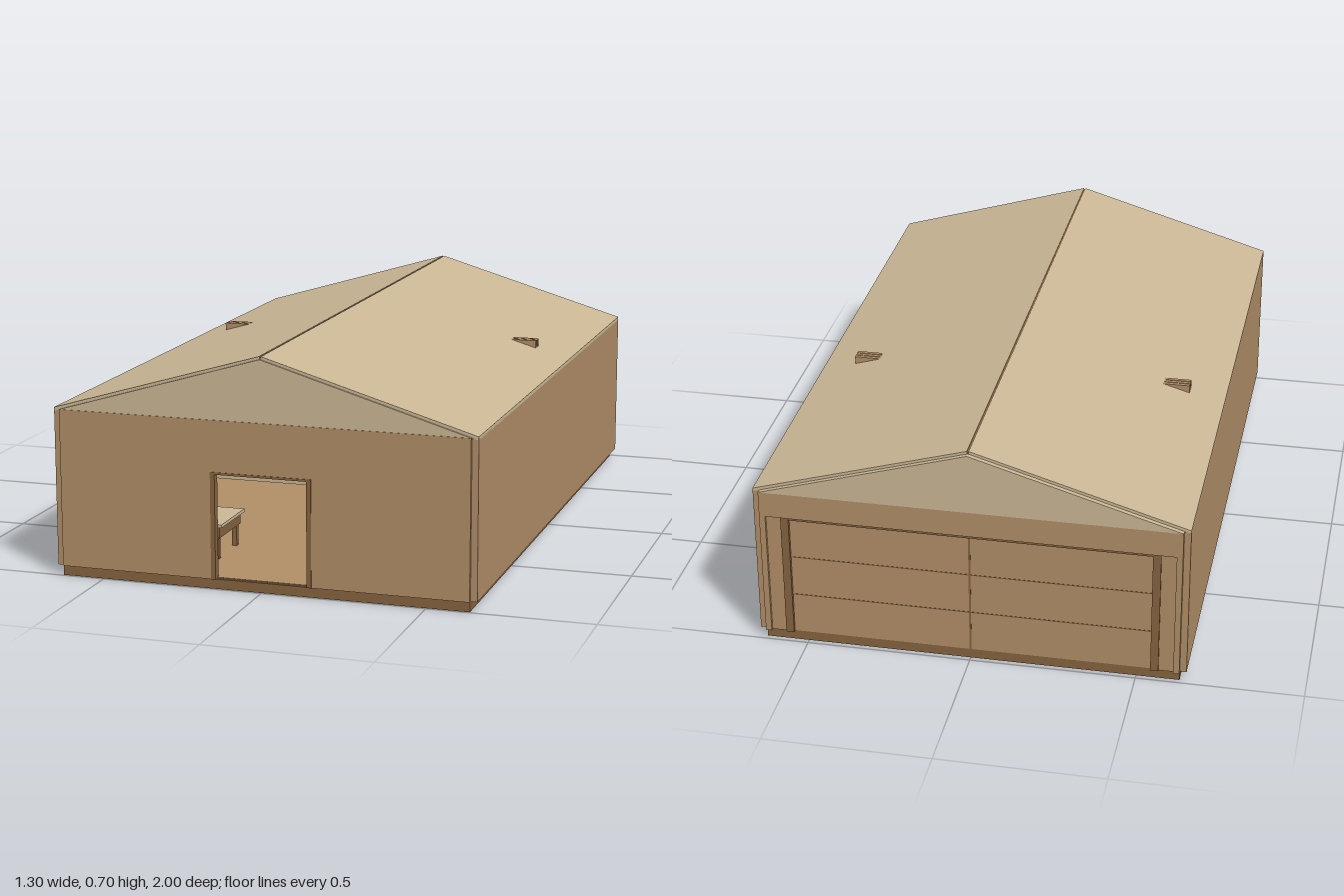
import * as THREE from 'three';

export function createModel() {
  const root = new THREE.Group();
  root.name = 'warehouse';
  const mat = (name, color) => {
    const m = new THREE.MeshStandardMaterial({ color });
    m.name = name;
    return m;
  };
  const tan = mat('tan cladding', 0xb08d67);
  const light = mat('pale roofing', 0xcab795);
  const dark = mat('dark brown trim', 0x85623f);

  const add = (geo, material, name, parent = root) => {
    const mesh = new THREE.Mesh(geo, material);
    mesh.name = name;
    parent.add(mesh);
    return mesh;
  };
  // Box given by its minimum and maximum on each axis
  const box = (name, material, x0, x1, y0, y1, z0, z1, parent = root) => {
    const g = new THREE.BoxGeometry(x1 - x0, y1 - y0, z1 - z0);
    g.translate((x0 + x1) / 2, (y0 + y1) / 2, (z0 + z1) / 2);
    return add(g, material, name, parent);
  };
  // Same box on both sides of the building
  const pair = (name, material, x0, x1, y0, y1, z0, z1, parent = root) => {
    box(name + 'Left', material, x0, x1, y0, y1, z0, z1, parent);
    box(name + 'Right', material, -x1, -x0, y0, y1, z0, z1, parent);
  };
  // Outline in x and y, pushed along z
  const prism = (name, material, points, z0, z1) => {
    const shape = new THREE.Shape(points.map(p => new THREE.Vector2(p[0], p[1])));
    const g = new THREE.ExtrudeGeometry(shape, { depth: z1 - z0, bevelEnabled: false });
    g.translate(0, 0, z0);
    return add(g, material, name);
  };

  const ground = 0.03, eave = 0.51, ridge = 0.705;

  // Foundation and floor
  box('foundation', dark, -0.63, 0.63, 0, ground, -0.985, 0.995);
  box('floor', tan, -0.63, 0.63, ground, ground + 0.003, -0.975, 0.985);

  // Side walls
  pair('sideWall', tan, 0.63, 0.65, ground, 0.507, -0.985, 0.99);

  // Front wall around the doorway
  pair('frontWall', tan, 0.145, 0.63, ground, eave, 0.98, 1);
  box('frontWallAboveDoor', tan, -0.145, 0.145, 0.35, eave, 0.98, 1);

  // Gables
  const gable = [[-0.63, eave], [0.63, eave], [0, ridge - 0.008]];
  prism('frontGable', light, gable, 0.98, 0.998);
  prism('backGable', light, gable, -1, -0.98);

  // Roof slopes, with a narrow gap along the ridge
  for (const s of [1, -1]) {
    const pts = [[0.65, eave - 0.007], [0.65, eave + 0.004], [0.003, ridge], [0.003, ridge - 0.011]];
    prism(s > 0 ? 'roofLeft' : 'roofRight', light, pts.map(p => [p[0] * s, p[1]]), -0.985, 0.992);
  }
  box('ridgeSeam', dark, -0.004, 0.004, ridge - 0.014, ridge - 0.002, -0.985, 0.99);

  // Roof vents: three louvres between dark plates
  for (const s of [1, -1]) {
    const vent = new THREE.Group();
    vent.name = s > 0 ? 'ventLeft' : 'ventRight';
    const xs = [0.445 * s, 0.54 * s].sort((a, b) => a - b);
    box('ventCore', dark, xs[0] + 0.003, xs[1] - 0.003, 0.535, 0.566, -0.203, -0.167, vent);
    for (let i = 0; i < 3; i++) {
      const z = -0.2 + i * 0.015;
      box('ventLouvre', tan, xs[0], xs[1], 0.533, 0.571, z - 0.006, z + 0.006, vent);
    }
    root.add(vent);
  }

  // Front door frame
  pair('doorJamb', dark, 0.141, 0.155, ground, 0.355, 0.978, 1.002);
  box('doorLintel', dark, -0.155, 0.155, 0.348, 0.355, 0.978, 1.002);
  box('doorHeadRail', light, -0.141, 0.141, 0.334, 0.348, 0.978, 0.985);

  // Back wall: posts, header and corner trims
  pair('backWall', tan, 0.565, 0.63, ground, 0.43, -0.99, -0.975);
  pair('backCornerTrim', tan, 0.612, 0.63, ground, 0.43, -1, -0.985);
  box('backHeader', tan, -0.63, 0.63, 0.43, eave, -1, -0.975);
  pair('backDoorPost', dark, 0.543, 0.567, ground, 0.43, -0.996, -0.972);
  box('backDoorTopRail', dark, -0.545, 0.545, 0.42, 0.43, -0.993, -0.973);

  // Back double door with three panel rows
  const door = new THREE.Group();
  door.name = 'backDoor';
  pair('doorLeaf', tan, 0.002, 0.545, ground, 0.42, -0.985, -0.975, door);
  for (const y of [0.16, 0.29]) {
    box('panelGroove', dark, -0.545, 0.545, y - 0.0015, y + 0.0015, -0.986, -0.974, door);
  }
  box('leafGap', dark, -0.003, 0.003, ground, 0.42, -0.986, -0.974, door);
  root.add(door);

  // Inner side of the back door: uprights, rails, panel and latch
  const inner = new THREE.Group();
  inner.name = 'innerDoorFittings';
  pair('upright', light, 0.067, 0.095, ground, 0.33, -0.975, -0.955, inner);
  for (const y of [0.163, 0.297]) box('rail', tan, -0.14, 0.14, y - 0.006, y + 0.006, -0.975, -0.96, inner);
  box('panel', light, -0.063, 0.06, 0.166, 0.3, -0.975, -0.945, inner);
  box('latchBody', tan, -0.027, 0.025, 0.193, 0.24, -0.945, -0.937, inner);
  pair('latchArm', tan, 0.013, 0.021, 0.24, 0.265, -0.945, -0.937, inner);
  box('latchBridge', tan, -0.021, 0.021, 0.258, 0.265, -0.945, -0.937, inner);
  box('latchSlot', dark, -0.003, 0.003, 0.205, 0.225, -0.938, -0.934, inner);
  box('stand', light, -0.018, 0.018, ground, 0.15, -0.975, -0.93, inner);
  pair('standArm', light, 0.02, 0.04, 0.07, 0.11, -0.965, -0.925, inner);
  box('standBlock', dark, -0.02, 0.02, 0.07, 0.11, -0.965, -0.92, inner);
  root.add(inner);

  // Low storage table just inside the doorway
  const table = new THREE.Group();
  table.name = 'storageTable';
  box('tableTop', light, -0.36, -0.19, 0.135, 0.145, 0.62, 0.82, table);
  box('tableApron', dark, -0.35, -0.2, 0.1, 0.135, 0.63, 0.81, table);
  for (const x of [-0.345, -0.22]) {
    for (const z of [0.635, 0.79]) box('tableLeg', dark, x, x + 0.015, ground, 0.1, z, z + 0.015, table);
  }
  root.add(table);

  return root;
}
